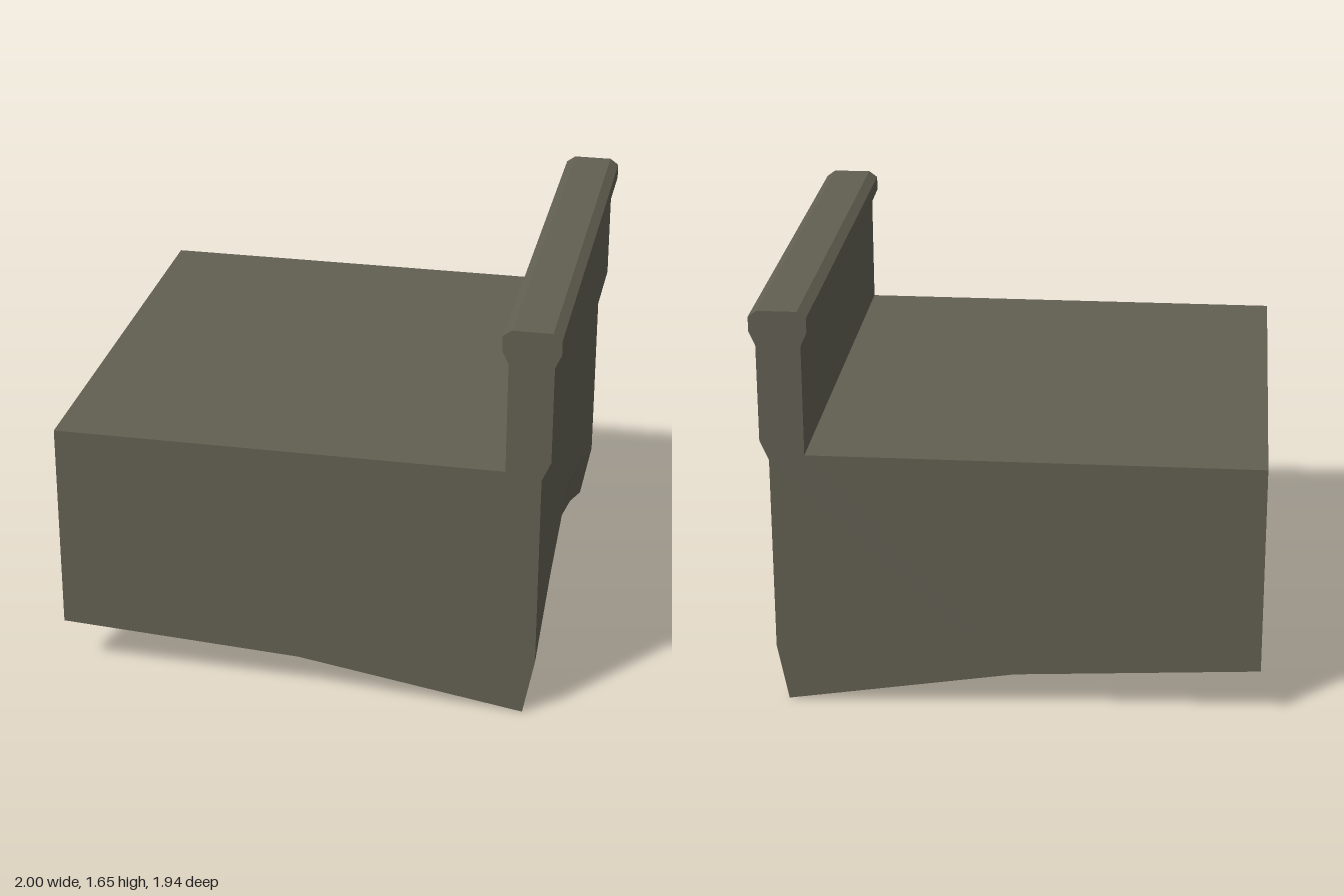
import * as THREE from 'three';

// Cross-section of deck and parapet, counter-clockwise from lower left
const PROFILE = [
  [-1, 0.2], [-0.02, 0.145], [0.895, 0],            // underside
  [0.94, 0.235], [0.94, 1.04], [0.975, 1.12],       // outer wall
  [0.975, 1.515], [1, 1.57], [1, 1.63], [0.965, 1.655], // coping
  [0.81, 1.655], [0.775, 1.63], [0.775, 1.57], [0.8, 1.515],
  [0.8, 1.065], [-1, 1.065],                        // inner wall and deck
];
const HALF = 0.97;   // half length
const KNEE = 0.54;   // where the arch changes slope

export function createModel() {
  const group = new THREE.Group();
  const stone = new THREE.MeshStandardMaterial({ color: 0x625f52 });
  stone.name = 'stone';

  const shape = new THREE.Shape(PROFILE.map(([x, y]) => new THREE.Vector2(x, y)));
  const geometry = new THREE.ExtrudeGeometry(shape, { depth: 2 * HALF, steps: 4, bevelEnabled: false });
  geometry.translate(0, 0, -HALF);

  // Raise the underside and its chamfer into a pointed arch along z
  const pos = geometry.attributes.position;
  for (let i = 0; i < pos.count; i++) {
    const x = pos.getX(i), y = pos.getY(i), z = pos.getZ(i);
    const station = Math.round(Math.abs(z) / (HALF / 2)); // 0 crown, 1 knee, 2 end
    if (station === 1) pos.setZ(i, Math.sign(z) * KNEE);
    if (y < 0.3) {
      const chamferTop = x > 0.92;
      const lift = chamferTop ? [0.31, 0.165, 0] : [0.333, 0.175, 0];
      pos.setY(i, y + lift[station]);
    }
  }
  geometry.computeVertexNormals();

  const mesh = new THREE.Mesh(geometry, stone);
  mesh.name = 'archedDeckWithParapet';
  group.add(mesh);
  return group;
}
